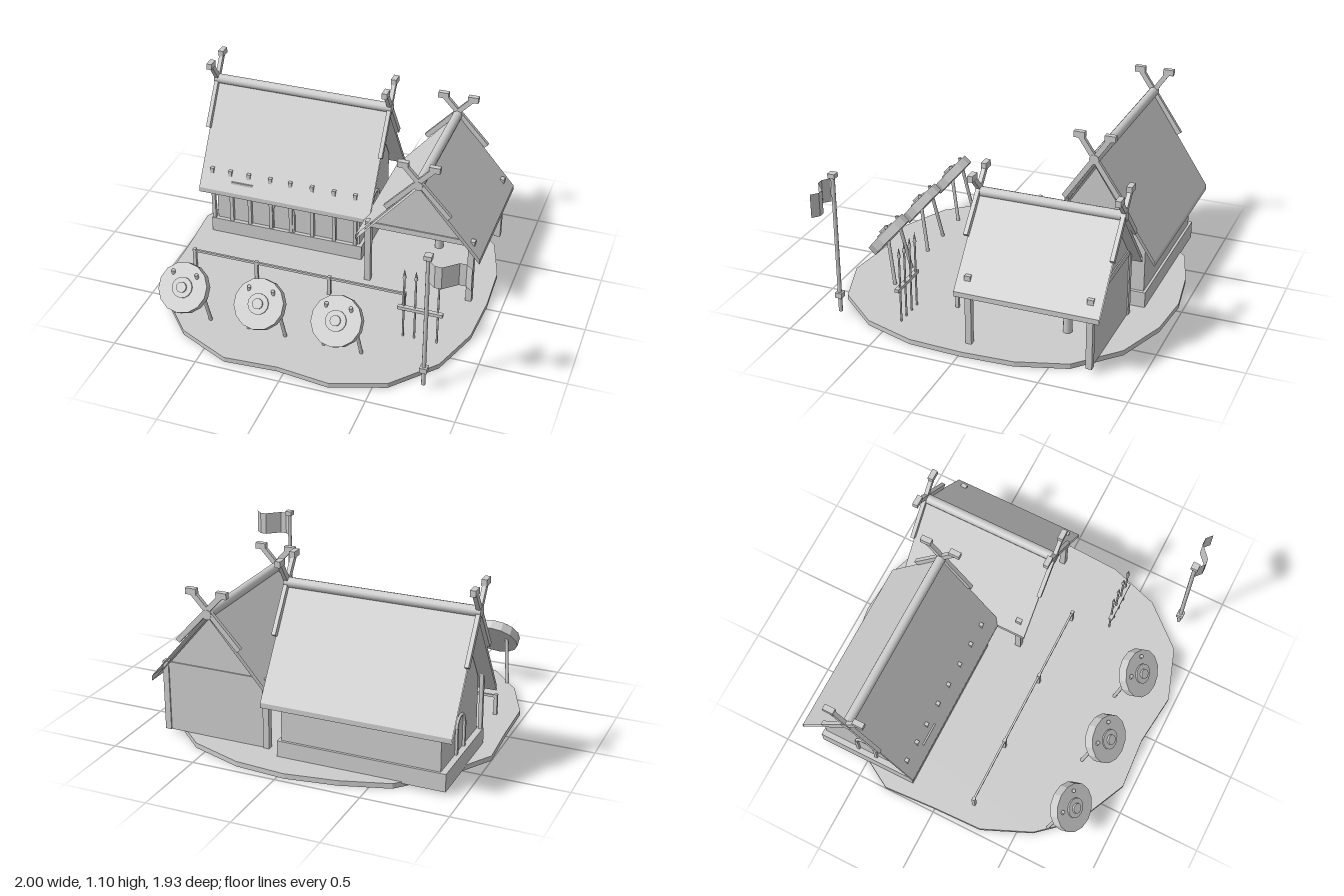
import * as THREE from 'three';

const mat = new THREE.MeshStandardMaterial({ color: 0xcccccc });
mat.name = 'plain grey';
const sheetMat = new THREE.MeshStandardMaterial({ color: 0xcccccc, side: THREE.DoubleSide });
sheetMat.name = 'plain grey sheet';
const V = (x, y, z) => new THREE.Vector3(x, y, z);

function add(parent, name, geo, x = 0, y = 0, z = 0, m = mat) {
  const mesh = new THREE.Mesh(geo, m);
  mesh.name = name;
  mesh.position.set(x, y, z);
  parent.add(mesh);
  return mesh;
}
// box given by its limits on each axis
function box(parent, name, x0, x1, y0, y1, z0, z1) {
  return add(parent, name, new THREE.BoxGeometry(x1 - x0, y1 - y0, z1 - z0),
    (x0 + x1) / 2, (y0 + y1) / 2, (z0 + z1) / 2);
}
// bar between two points: round, or square when a depth is given
function bar(parent, name, a, b, w, depth) {
  const len = a.distanceTo(b);
  const geo = depth ? new THREE.BoxGeometry(w, len, depth) : new THREE.CylinderGeometry(w, w, len, 8);
  const mesh = add(parent, name, geo);
  mesh.position.copy(a).add(b).multiplyScalar(0.5);
  mesh.quaternion.setFromUnitVectors(V(0, 1, 0), b.clone().sub(a).normalize());
  return mesh;
}
function flat(geo) {
  const g = geo.toNonIndexed();
  g.computeVertexNormals();
  return g;
}
function group(parent, name) {
  const g = new THREE.Group();
  g.name = name;
  parent.add(g);
  return g;
}
function extrude(points, depth) {
  const shape = new THREE.Shape(points.map(p => new THREE.Vector2(p[0], p[1])));
  return new THREE.ExtrudeGeometry(shape, { depth, bevelEnabled: false });
}

// two sloping sheets with an eave lip, open at the ends, running along z
function roofGeometry(w, eave, ridge, length) {
  const t = 0.03, h = length / 2;
  const loop = [[-w, eave - t], [0, ridge - t], [w, eave - t], [w, eave], [0, ridge], [-w, eave]];
  const pos = [];
  loop.forEach((a, i) => {
    const b = loop[(i + 1) % loop.length];
    pos.push(...a, -h, ...b, -h, ...b, h, ...a, -h, ...b, h, ...a, h);
  });
  const g = new THREE.BufferGeometry();
  g.setAttribute('position', new THREE.Float32BufferAttribute(pos, 3));
  g.computeVertexNormals();
  return g;
}

// roof with ridge pole and crossed gable boards, running along local z
function makeRoof(parent, name, o) {
  const g = group(parent, name);
  add(g, 'roofSheets', roofGeometry(o.w, o.eave, o.ridge, o.length), 0, 0, 0, sheetMat);
  const pole = add(g, 'ridgePole', new THREE.CylinderGeometry(0.029, 0.029, o.length + 0.035, 12), 0, o.poleY, 0);
  pole.rotation.x = Math.PI / 2;
  for (const end of [-1, 1]) for (const s of [-1, 1]) {
    const z = end * (o.length / 2 + 0.003);
    bar(g, 'gableBoard', V(-s * o.low[0], o.low[1], z), V(s * o.top[0], o.top[1], z), 0.03, 0.024);
    box(g, 'boardCap', s * o.top[0] - 0.032, s * o.top[0] + 0.032,
      o.top[1] - 0.018, o.top[1] + 0.018, z - 0.016, z + 0.016);
  }
  return g;
}

// arched frame facing local +z
function makeArch(parent, x, y, z, r, legs, turn) {
  const g = group(parent, 'archedDoor');
  g.position.set(x, y, z);
  g.rotation.y = turn;
  add(g, 'archTop', new THREE.TorusGeometry(r, 0.009, 6, 12, Math.PI), 0, legs, 0);
  for (const s of [-1, 1]) box(g, 'archPost', s * r - 0.009, s * r + 0.009, 0, legs, -0.009, 0.009);
}

function makeHall(root) {
  const hall = group(root, 'hall');
  box(hall, 'plinth', -0.905, 0.08, 0.02, 0.125, -0.8, -0.185);
  const wall = add(hall, 'hallWalls',
    extrude([[0.21, 0.03], [0.785, 0.03], [0.785, 0.44], [0.5, 0.88], [0.21, 0.44]], 0.93), -0.87, 0, 0);
  wall.rotation.y = Math.PI / 2;
  [-0.89, -0.77, -0.65, -0.51, -0.38, -0.24, -0.1, 0.035].forEach(x =>
    box(hall, 'wallPost', x - 0.011, x + 0.011, 0.12, 0.488, -0.211, -0.189));
  box(hall, 'lintel', -0.755, -0.615, 0.405, 0.43, -0.2, -0.165);
  makeArch(hall, -0.435, 0.125, -0.205, 0.07, 0.125, 0);
  makeArch(hall, -0.875, 0.125, -0.5, 0.06, 0.15, Math.PI / 2);
  makeArch(hall, 0.066, 0.125, -0.5, 0.06, 0.15, Math.PI / 2);
  const roof = makeRoof(hall, 'hallRoof',
    { w: 0.365, eave: 0.37, ridge: 0.93, length: 1.1, poleY: 0.943, low: [0.175, 0.69], top: [0.09, 1.08] });
  roof.position.set(-0.406, 0, -0.5);
  roof.rotation.y = Math.PI / 2;
}

function makeAnnex(root) {
  const annex = group(root, 'annex');
  for (const x of [0.178, 0.803]) for (const z of [-0.72, -0.02])
    box(annex, 'cornerPost', x - 0.018, x + 0.018, 0.03, 0.452, z - 0.018, z + 0.018);
  box(annex, 'backWall', 0.165, 0.815, 0.03, 0.42, -0.73, -0.71);
  for (const z of [-0.72, -0.02]) {
    box(annex, 'tieBeam', 0.16, 0.82, 0.415, 0.45, z - 0.014, z + 0.014);
    add(annex, 'gable', extrude([[-0.31, 0.43], [0.31, 0.43], [0, 0.785]], 0.014), 0.49, 0, z - 0.007);
  }
  // work stump with an upright tool
  add(annex, 'stump', new THREE.CylinderGeometry(0.025, 0.028, 0.15, 8), 0.49, 0.105, -0.48);
  bar(annex, 'tool', V(0.49, 0.17, -0.48), V(0.49, 0.265, -0.48), 0.006);
  makeRoof(annex, 'annexRoof',
    { w: 0.376, eave: 0.37, ridge: 0.81, length: 0.83, poleY: 0.803, low: [0.19, 0.62], top: [0.093, 0.925] })
    .position.set(0.49, 0, -0.372);
}

function makeShield(root, x) {
  const stand = group(root, 'shieldStand');
  stand.position.x = x;
  const shield = group(stand, 'shield');
  shield.position.set(0, 0.291, 0.741);
  shield.rotation.x = Math.PI / 2 - 0.69;
  const disc = (name, r, h, y) => add(shield, name, flat(new THREE.CylinderGeometry(r, r, h, 14)), 0, y, 0);
  disc('shieldDisc', 0.145, 0.058, 0);
  disc('shieldBoss', 0.06, 0.012, 0.033);
  disc('shieldBossCentre', 0.03, 0.02, 0.042);
  for (const s of [-1, 1])
    bar(stand, 'standLeg', V(s * 0.112, 0.03, 0.655), V(s * 0.07, 0.385, 0.72), 0.011);
}

function makeFlag(root) {
  const g = group(root, 'flagpole');
  bar(g, 'pole', V(0.765, 0.035, 0.8), V(0.765, 0.88, 0.8), 0.012);
  box(g, 'poleCap', 0.744, 0.786, 0.873, 0.9, 0.779, 0.821);
  box(g, 'poleCollar', 0.744, 0.786, 0.125, 0.157, 0.779, 0.821);
  const geo = new THREE.PlaneGeometry(0.225, 0.138, 6, 1);
  const p = geo.attributes.position;
  for (let i = 0; i < p.count; i++) p.setZ(i, 0.038 * Math.sin((p.getX(i) / 0.225 + 0.5) * Math.PI * 2));
  add(g, 'flag', flat(geo), 0.8875, 0.8, 0.81, sheetMat);
}

export function createModel() {
  const root = new THREE.Group();
  root.name = 'longhouse';

  // ground slab
  const outline = [[-0.97, 0.3], [-0.845, 0.59], [-0.66, 0.8], [-0.35, 0.945], [-0.04, 0.925], [0.27, 0.96],
    [0.58, 0.855], [0.8, 0.605], [0.9, 0.3], [0.915, -0.015], [0.9, -0.32], [0.81, -0.61], [0.57, -0.835],
    [0.26, -0.945], [-0.04, -0.97], [-0.34, -0.925], [-0.62, -0.84], [-0.83, -0.61], [-1, -0.32], [-0.98, -0.01]];
  const ground = add(root, 'ground', extrude(outline.map(([x, z]) => [x, -z]), 0.03));
  ground.rotation.x = -Math.PI / 2;

  makeHall(root);
  makeAnnex(root);
  [-0.665, -0.205, 0.25].forEach(x => makeShield(root, x));
  makeFlag(root);

  // low fence
  const fence = group(root, 'fence');
  [-0.85, -0.45, 0.01, 0.47].forEach(x => box(fence, 'fencePost', x - 0.01, x + 0.01, 0.03, 0.157, 0.19, 0.21));
  box(fence, 'fenceRail', -0.86, 0.475, 0.137, 0.152, 0.194, 0.206);

  // spear rack
  const rack = group(root, 'spearRack');
  box(rack, 'rackRail', 0.502, 0.765, 0.225, 0.245, 0.425, 0.45);
  [0.535, 0.602, 0.67, 0.735].forEach(x => {
    bar(rack, 'spearShaft', V(x, 0.03, 0.43), V(x, 0.45, 0.43), 0.006);
    add(rack, 'spearHead', new THREE.ConeGeometry(0.012, 0.06, 6), x, 0.468, 0.43);
  });
  return root;
}
